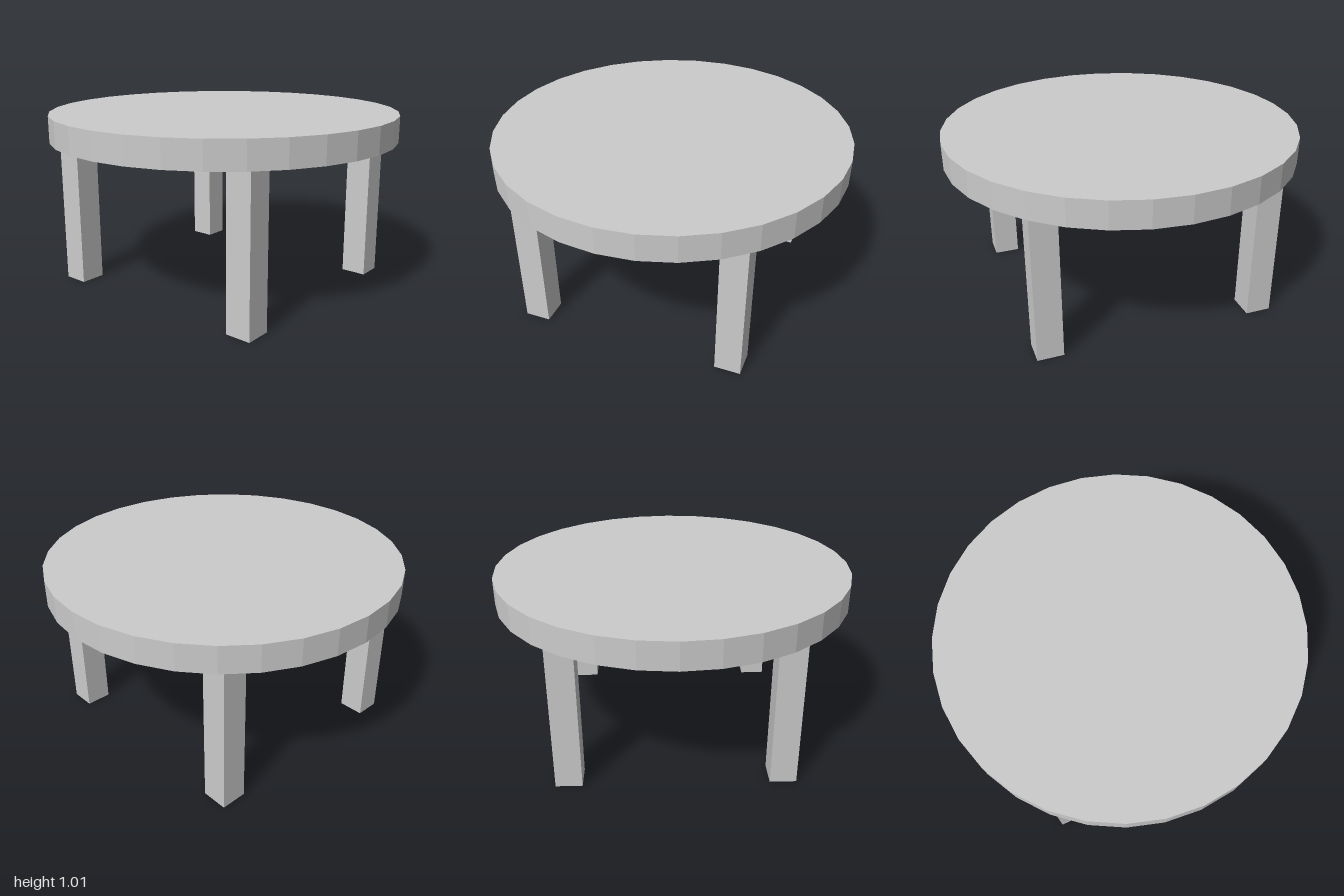
import * as THREE from 'three';

export function createModel() {
  const table = new THREE.Group();
  table.name = 'roundTable';
  const material = new THREE.MeshStandardMaterial({ color: 0xcccccc, flatShading: true });

  const underside = 0.865, thickness = 0.15, legWidth = 0.146;

  // Round faceted top
  const top = new THREE.Mesh(new THREE.CylinderGeometry(1, 1, thickness, 32), material);
  top.name = 'tableTop';
  top.position.y = underside + thickness / 2;
  table.add(top);

  // Four square legs, mirrored across both axes
  const legGeometry = new THREE.BoxGeometry(legWidth, underside, legWidth);
  for (const [sz, end] of [[1, 'front'], [-1, 'back']]) {
    for (const [sx, side] of [[1, 'Left'], [-1, 'Right']]) {
      const leg = new THREE.Mesh(legGeometry, material);
      leg.name = `${end}${side}Leg`;
      leg.position.set(sx * 0.62, underside / 2, sz * 0.583);
      table.add(leg);
    }
  }
  return table;
}
